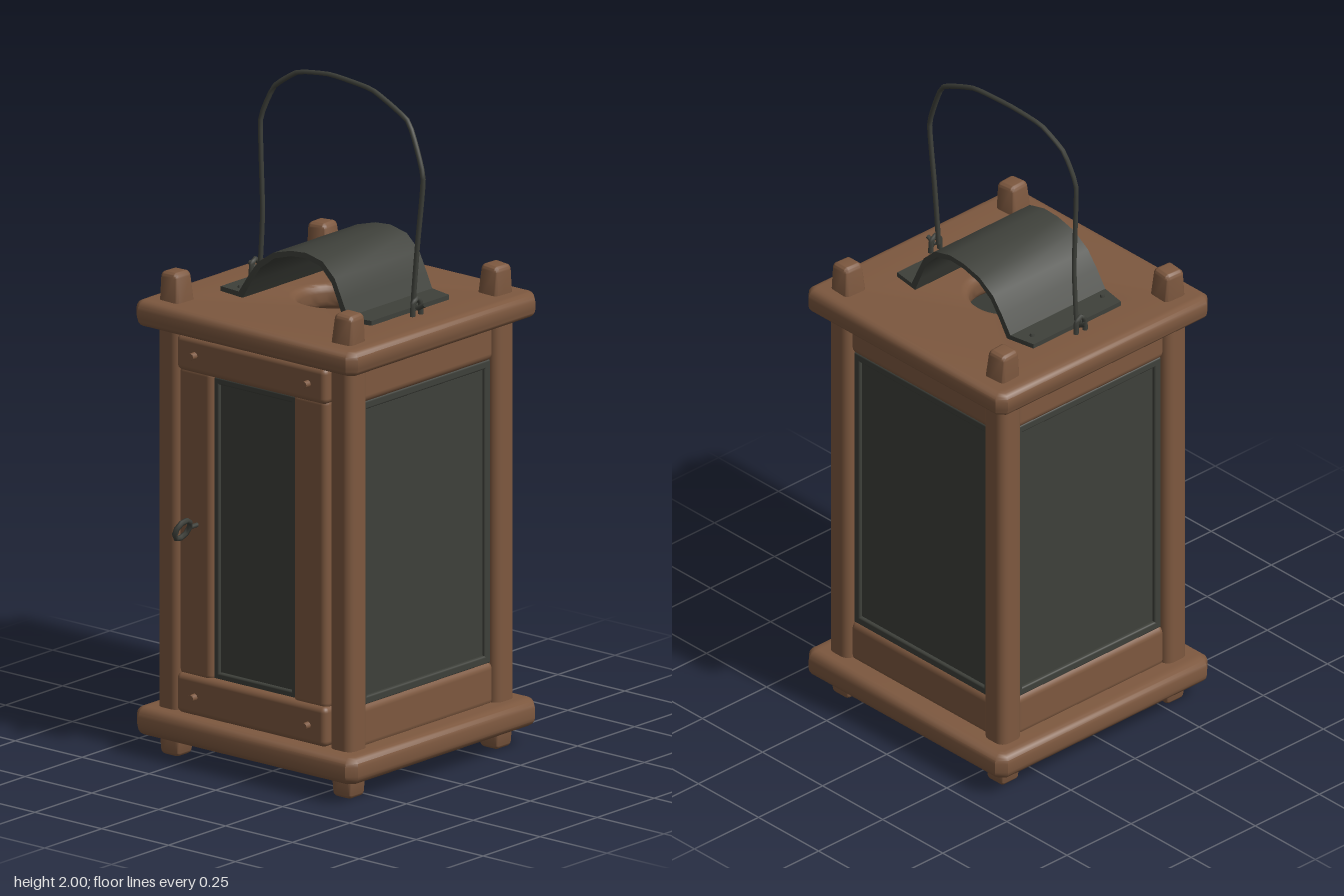
import * as THREE from 'three';
import { RoundedBoxGeometry } from 'three/addons/geometries/RoundedBoxGeometry.js';
import { toCreasedNormals } from 'three/addons/utils/BufferGeometryUtils.js';

const ZC = -0.027; // centre of the body, as the door ring sticks out in front

export function createModel() {
  const lantern = new THREE.Group();
  lantern.name = 'lantern';
  const material = (name, color) => {
    const m = new THREE.MeshStandardMaterial({ color });
    m.name = name;
    return m;
  };
  const wood = material('wood', 0x7d583f);
  const iron = material('dark iron', 0x3e403a);

  const add = (parent, name, geometry, mat, x = 0, y = 0, z = 0) => {
    const mesh = new THREE.Mesh(geometry, mat);
    mesh.name = name;
    mesh.position.set(x, y, z);
    parent.add(mesh);
    return mesh;
  };
  // Rounded box given by its limits
  const block = (parent, name, mat, x0, x1, y0, y1, z0, z1, r) =>
    add(parent, name, new RoundedBoxGeometry(x1 - x0, y1 - y0, z1 - z0, 3, r), mat,
      (x0 + x1) / 2, (y0 + y1) / 2, (z0 + z1) / 2);
  // Rounded peg that narrows towards one end
  const peg = (name, w, h, narrow, up, x, y, z) => {
    const g = new RoundedBoxGeometry(w, h, w, 3, 0.016);
    const p = g.attributes.position;
    for (let i = 0; i < p.count; i++) {
      const t = 0.5 + (up * p.getY(i)) / h;
      const s = 1 + (narrow - 1) * t;
      p.setX(i, p.getX(i) * s);
      p.setZ(i, p.getZ(i) * s);
    }
    return add(lantern, name, toCreasedNormals(g, 0.9), wood, x, y, z);
  };
  const wire = (parent, name, points, r, n) => {
    const path = points.map((p) => new THREE.Vector3(...p));
    const curve = new THREE.CatmullRomCurve3(path, false, 'catmullrom', 0.2);
    return add(parent, name, new THREE.TubeGeometry(curve, n, r, 6), iron);
  };

  // Square board with rounded edges and clipped corners, with or without a round hole
  const board = (name, y0, y1, b, holeRadius) => {
    const e = 0.414 - b, c = 0.01;
    const square = new THREE.Shape();
    square.moveTo(-e + c, -e).lineTo(e - c, -e).lineTo(e, -e + c).lineTo(e, e - c)
      .lineTo(e - c, e).lineTo(-e + c, e).lineTo(-e, e - c).lineTo(-e, -e + c).closePath();
    if (holeRadius) {
      square.holes.push(new THREE.Path().absarc(0, 0, holeRadius, 0, Math.PI * 2, true));
    }
    const g = new THREE.ExtrudeGeometry(square, {
      depth: y1 - y0 - 2 * b, bevelSize: b, bevelThickness: b, bevelSegments: 4, curveSegments: 20,
    }).rotateX(-Math.PI / 2);
    add(lantern, name, toCreasedNormals(g, 0.7), wood, 0, y0 + b, ZC);
  };
  board('baseBoard', 0.06, 0.143, 0.028, 0);
  board('topBoard', 1.274, 1.35, 0.026, 0.136);

  // Corner posts, their upper ends and the feet
  for (const sx of [-1, 1]) {
    for (const sz of [-1, 1]) {
      const x = sx * 0.322, z = ZC + sz * 0.322;
      block(lantern, 'post', wood, x - 0.042, x + 0.042, 0.1, 1.32, z - 0.042, z + 0.042, 0.026);
      const end = peg('postTop', 0.082, 0.13, 0.78, 1, x, 1.37, z);
      end.rotation.y = 0.06 * sx * sz;
      end.rotation.z = -0.05 * sx;
      peg('foot', 0.08, 0.1, 0.85, -1, x, 0.05, z);
    }
  }

  // Thin rim around a pane, standing at depth z
  const rim = (parent, x0, x1, y0, y1, z, w) => {
    for (const x of [x0, x1 - w]) block(parent, 'paneRim', iron, x, x + w, y0, y1, z - 0.016, z, 0.006);
    for (const y of [y0, y1 - w]) block(parent, 'paneRim', iron, x0, x1, y, y + w, z - 0.016, z, 0.006);
  };

  // Glazed walls on both sides and at the back
  const wall = (name, turn) => {
    const g = new THREE.Group();
    g.name = name;
    g.position.z = ZC;
    g.rotation.y = turn;
    block(g, 'upperRail', wood, -0.295, 0.295, 1.157, 1.285, 0.285, 0.345, 0.024);
    block(g, 'lowerRail', wood, -0.295, 0.295, 0.13, 0.266, 0.285, 0.345, 0.024);
    add(g, 'pane', new THREE.BoxGeometry(0.56, 0.9, 0.012), iron, 0, 0.71, 0.321);
    rim(g, -0.284, 0.284, 0.258, 1.162, 0.337, 0.026);
    lantern.add(g);
  };
  wall('leftWall', Math.PI / 2);
  wall('rightWall', -Math.PI / 2);
  wall('backWall', Math.PI);

  // Front door
  const door = new THREE.Group();
  door.name = 'door';
  lantern.add(door);
  block(door, 'doorUpperRail', wood, -0.282, 0.278, 1.16, 1.268, 0.285, 0.347, 0.018);
  block(door, 'doorLowerRail', wood, -0.282, 0.278, 0.142, 0.262, 0.285, 0.347, 0.018);
  block(door, 'doorRightStile', wood, -0.282, -0.155, 0.25, 1.175, 0.28, 0.336, 0.02);
  block(door, 'doorLeftStile', wood, 0.145, 0.272, 0.25, 1.175, 0.28, 0.336, 0.02);
  add(door, 'doorPane', new THREE.BoxGeometry(0.31, 0.9, 0.012), iron, -0.005, 0.71, 0.306);
  rim(door, -0.162, 0.152, 0.258, 1.158, 0.322, 0.022);
  for (const x of [-0.21, 0.214]) {
    for (const y of [0.2, 1.215]) {
      add(door, 'doorNail', new THREE.CylinderGeometry(0.01, 0.012, 0.03, 8).rotateX(Math.PI / 2),
        wood, x, y, 0.35);
    }
  }

  // Ring pull with its shank
  const ring = add(door, 'doorRing', new THREE.TorusGeometry(0.031, 0.0085, 6, 9).rotateY(Math.PI / 2),
    iron, -0.21, 0.71, 0.4);
  ring.rotation.z = -0.4;
  add(door, 'ringShank', new THREE.CylinderGeometry(0.007, 0.007, 0.05, 6).rotateX(Math.PI / 2),
    iron, -0.21, 0.71, 0.345);

  // Bent sheet over the smoke hole
  const upper = [[-0.278, 1.364], [-0.2, 1.366], [-0.165, 1.42], [-0.13, 1.467], [-0.075, 1.505], [-0.01, 1.523],
    [0.045, 1.527], [0.105, 1.513], [0.15, 1.47], [0.178, 1.41], [0.198, 1.366], [0.272, 1.364]];
  const lower = upper.map(([x, y], i) =>
    [i === 0 || i === upper.length - 1 ? x : x * 0.93, y - 0.016]).reverse();
  const section = new THREE.Shape([...upper, ...lower].map(([x, y]) => new THREE.Vector2(x, y)));
  const sheet = new THREE.ExtrudeGeometry(section, { depth: 0.37, bevelEnabled: false });
  sheet.translate(0, 0, -0.185);
  const sp = sheet.attributes.position;
  for (let i = 0; i < sp.count; i++) {
    const x = sp.getX(i);
    const trim = Math.abs(x) > 0.25 ? 0.92 : 1; // clipped corners
    sp.setZ(i, sp.getZ(i) * trim - 0.03 * x);
  }
  add(lantern, 'smokeCover', toCreasedNormals(sheet, 0.7), iron, 0, 0, -0.026);
  for (const [x, z] of [[-0.242, -0.16], [-0.225, 0.13]]) {
    add(lantern, 'coverNail', new THREE.CylinderGeometry(0.006, 0.008, 0.012, 8), iron, x, 1.367, z);
  }

  // Wire handle and the staples that hold it
  wire(lantern, 'handle', [[-0.325, 1.385, -0.03], [-0.285, 1.37, -0.026], [-0.272, 1.55, -0.024], [-0.277, 1.82, -0.021],
    [-0.235, 1.925, -0.032], [-0.155, 1.98, -0.043], [-0.04, 1.993, -0.05], [0.12, 1.98, -0.045],
    [0.265, 1.915, -0.034], [0.325, 1.765, -0.028], [0.306, 1.57, -0.027], [0.288, 1.37, -0.028],
    [0.33, 1.385, -0.03]], 0.0075, 60);
  for (const s of [-1, 1]) {
    const x = s * 0.302;
    wire(lantern, 'handleStaple', [[x, 1.34, -0.045], [x, 1.385, -0.043], [x, 1.4, -0.027],
      [x, 1.385, -0.011], [x, 1.34, -0.009]], 0.008, 12);
  }
  return lantern;
}
